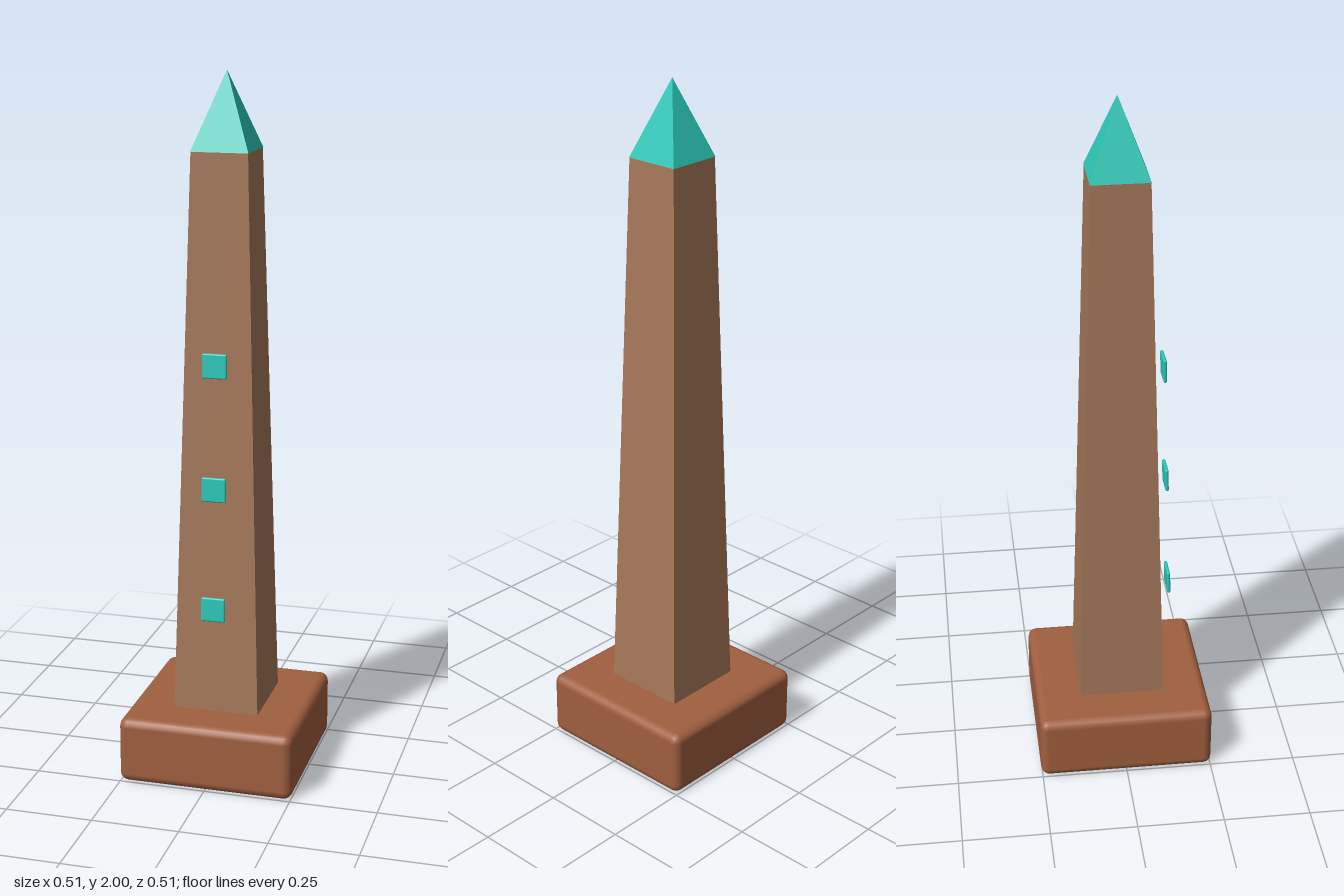
import * as THREE from 'three';
import { RoundedBoxGeometry } from 'three/addons/geometries/RoundedBoxGeometry.js';

const BASE_TOP = 0.193, SHAFT_TOP = 1.787;
const SHAFT_BOTTOM_HALF = 0.124, SHAFT_TOP_HALF = 0.08;

// Square frustum (or pyramid) standing on y0, given half-widths
function squareTaper(topHalf, bottomHalf, y0, y1) {
  const g = new THREE.CylinderGeometry(topHalf * Math.SQRT2, bottomHalf * Math.SQRT2, y1 - y0, 4);
  g.rotateY(Math.PI / 4);
  g.translate(0, (y0 + y1) / 2, 0);
  return g;
}

export function createModel() {
  const model = new THREE.Group();
  const stone = new THREE.MeshStandardMaterial({ color: 0xa05f3f });
  const shaftStone = new THREE.MeshStandardMaterial({ color: 0xa6785a, flatShading: true });
  const teal = new THREE.MeshStandardMaterial({ color: 0x2bc8b8, flatShading: true });
  const tileTeal = new THREE.MeshStandardMaterial({ color: 0x2bc8b8 });

  const add = (name, geometry, material) => {
    const mesh = new THREE.Mesh(geometry, material);
    mesh.name = name;
    model.add(mesh);
    return mesh;
  };

  // Rounded plinth
  add('plinth', new RoundedBoxGeometry(0.507, BASE_TOP, 0.507, 2, 0.025), stone)
    .position.y = BASE_TOP / 2;

  // Tapered shaft and its pyramid cap
  add('shaft', squareTaper(SHAFT_TOP_HALF, SHAFT_BOTTOM_HALF, BASE_TOP - 0.01, SHAFT_TOP), shaftStone);
  add('pyramidCap', squareTaper(0, 0.081, SHAFT_TOP, 2), teal);

  // Three inlay tiles hovering parallel to the front face
  const slope = (SHAFT_BOTTOM_HALF - SHAFT_TOP_HALF) / (SHAFT_TOP - BASE_TOP);
  const tileGeometry = new RoundedBoxGeometry(0.07, 0.07, 0.01, 2, 0.0045);
  for (let i = 0; i < 3; i++) {
    const y = 0.512 + i * 0.35;
    const tile = add('tile' + (i + 1), tileGeometry, tileTeal);
    tile.position.set(0, y, 0.149 - slope * (y - 0.512));
    tile.rotation.x = -Math.atan(slope);
  }
  return model;
}
